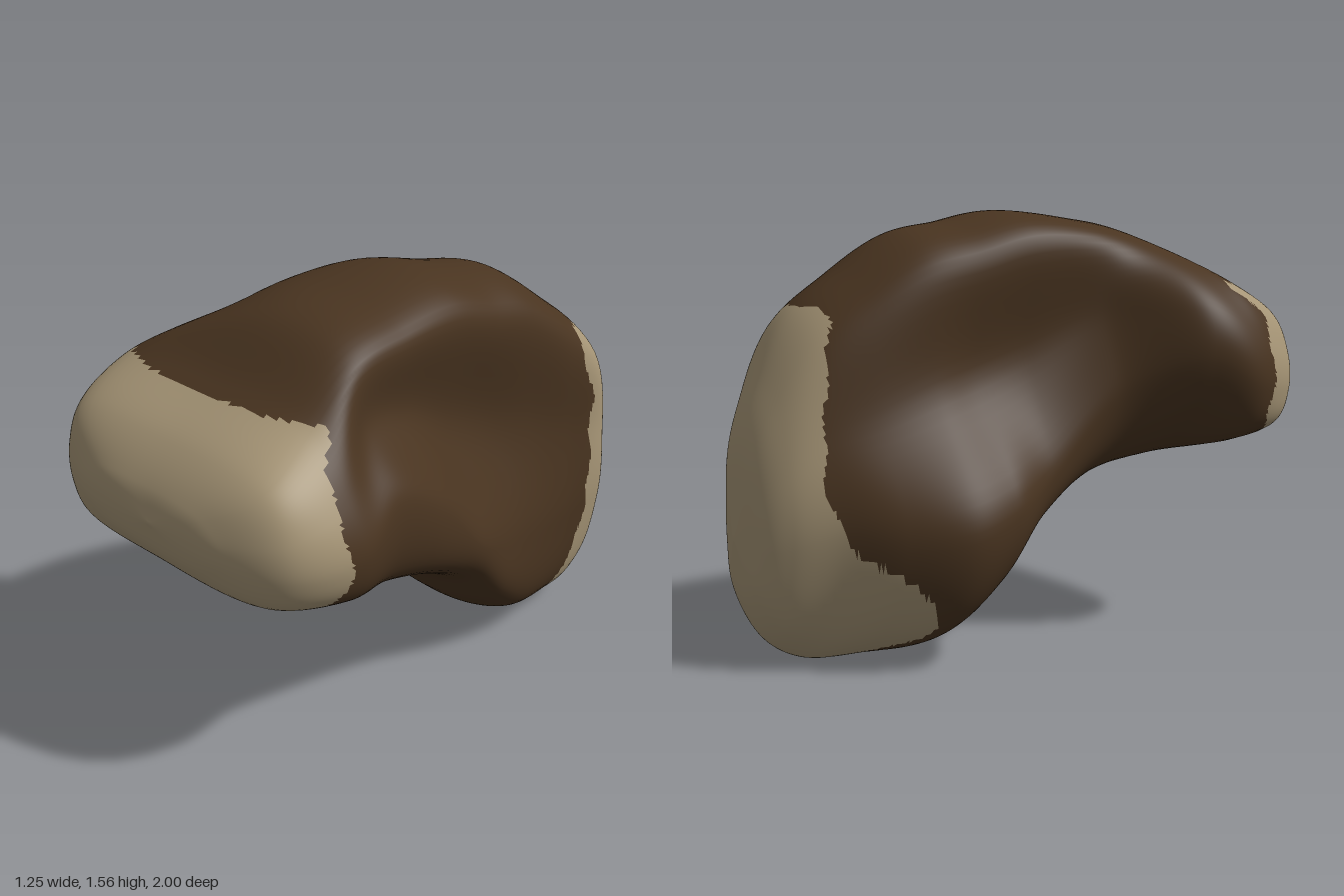
import * as THREE from 'three';
import { mergeVertices } from 'three/addons/utils/BufferGeometryUtils.js';

// Cross-sections from front to back: z, bottom y, top y, height of the side bulge (0 to 1),
// then x of the -x side (low, bulge, waist, high) and of the +x side (low, bulge, waist, high)
const SECTIONS = [
  [0.965, 0.86, 1.09, 0.35, -0.25, -0.33, -0.33, -0.25, 0.25, 0.33, 0.33, 0.25],
  [0.86, 0.75, 1.21, 0.35, -0.48, -0.54, -0.53, -0.45, 0.45, 0.53, 0.52, 0.42],
  [0.64, 0.7, 1.34, 0.35, -0.53, -0.62, -0.6, -0.47, 0.55, 0.62, 0.56, 0.4],
  [0.43, 0.64, 1.5, 0.45, -0.34, -0.56, -0.52, -0.25, 0.52, 0.58, 0.43, 0.39],
  [0.2, 0.56, 1.54, 0.35, -0.22, -0.33, -0.25, -0.22, 0.53, 0.57, 0.39, 0.39],
  [-0.05, 0.39, 1.56, 0.22, -0.22, -0.28, -0.14, -0.17, 0.5, 0.55, 0.37, 0.39],
  [-0.25, 0.18, 1.52, 0.28, -0.25, -0.34, -0.11, -0.13, 0.48, 0.51, 0.38, 0.4],
  [-0.43, 0.04, 1.48, 0.32, -0.22, -0.345, -0.11, -0.08, 0.45, 0.5, 0.42, 0.41],
  [-0.62, 0.01, 1.35, 0.35, -0.08, -0.23, -0.08, -0.01, 0.43, 0.5, 0.47, 0.44],
  [-0.78, 0.005, 1.21, 0.4, 0.06, -0.08, -0.02, 0.06, 0.41, 0.5, 0.5, 0.46],
  [-0.9, 0.08, 0.98, 0.4, 0.12, 0.03, 0.04, 0.12, 0.39, 0.46, 0.46, 0.41],
  [-0.97, 0.22, 0.78, 0.35, 0.17, 0.13, 0.13, 0.18, 0.36, 0.39, 0.39, 0.36],
];
const FRONT_TIP = new THREE.Vector3(0.05, 0.99, 1);
const BACK_TIP = new THREE.Vector3(0.28, 0.45, -1);
const COLUMNS = 100;
const ROWS = 220;
const step = THREE.MathUtils.smoothstep;

// Smooth closed outline of one cross-section, counterclockwise seen from the front
function outline([z, yb, yt, bulge, l1, l2, l3, l4, r1, r2, r3, r4]) {
  const p = (x, t) => new THREE.Vector3(x, yb + (yt - yb) * t, z);
  const waist = (bulge + 0.92) / 2;
  return new THREE.CatmullRomCurve3([
    p((l1 + r1) / 2, 0), p(r1, 0.09), p(r2, bulge), p(r3, waist), p(r4, 0.92),
    p((l4 + r4) / 2, 1), p(l4, 0.92), p(l3, waist), p(l2, bulge), p(l1, 0.09),
  ], true);
}

// Whether a point lies on one of the pale end surfaces
function isPale(x, y, z) {
  const ripple = 0.01 * Math.sin(y * 27 + x * 9);
  const front = 0.69 - 0.1 * step(y, 1.18, 1.3) + 0.04 * step(0.85 - y, 0, 0.1) + ripple;
  const back = -0.74 + ripple
    + 0.11 * step(0.45 - y, 0, 0.45) // sweeps forward under the heel
    + 0.18 * step(0.48 - y, 0, 0.25) * step(-x, -0.1, 0.25) // and further on the -x side
    + 0.07 * step(y, 0.95, 1.2) * step(x, 0.3, 0.42)
    - 0.07 * step(y, 0.4, 0.6) * step(-x, -0.06, 0.03);
  return (z > front && y < 1.305) || (z < back && y < 1.23);
}

// Loft through the sections, with a triangle group for each colour
function loftGeometry() {
  const outlines = SECTIONS.map(outline);
  const positions = [];
  for (let j = 0; j < COLUMNS; j++) {
    const strand = new THREE.CatmullRomCurve3([
      FRONT_TIP, ...outlines.map((c) => c.getPoint(j / COLUMNS)), BACK_TIP,
    ]);
    for (let i = 0; i <= ROWS; i++) positions.push(...strand.getPoint(i / ROWS).toArray());
  }
  const at = (i, j) => (j % COLUMNS) * (ROWS + 1) + i;
  const brown = [];
  const pale = [];
  const addTriangle = (...ids) => {
    const mean = (k) => ids.reduce((sum, v) => sum + positions[v * 3 + k], 0) / 3;
    (isPale(mean(0), mean(1), mean(2)) ? pale : brown).push(...ids);
  };
  for (let j = 0; j < COLUMNS; j++) {
    for (let i = 0; i < ROWS; i++) {
      if (i > 0) addTriangle(at(i, j), at(i + 1, j), at(i, j + 1));
      if (i < ROWS - 1) addTriangle(at(i, j + 1), at(i + 1, j), at(i + 1, j + 1));
    }
  }
  let geometry = new THREE.BufferGeometry();
  geometry.setAttribute('position', new THREE.Float32BufferAttribute(positions, 3));
  geometry.setIndex([...brown, ...pale]);
  geometry = mergeVertices(geometry, 1e-5);
  geometry.clearGroups();
  geometry.addGroup(0, brown.length, 0);
  geometry.addGroup(brown.length, pale.length, 1);
  geometry.computeVertexNormals();
  return geometry;
}

export function createModel() {
  const darkBrown = new THREE.MeshStandardMaterial({ color: 0x493420 });
  darkBrown.name = 'dark brown';
  const paleTan = new THREE.MeshStandardMaterial({ color: 0xa69576 });
  paleTan.name = 'pale tan';

  // Curved body with a wide front end, a waist and a tall back end
  const body = new THREE.Mesh(loftGeometry(), [darkBrown, paleTan]);
  body.name = 'curvedBody';

  const model = new THREE.Group();
  model.name = 'curvedBone';
  model.add(body);
  return model;
}
